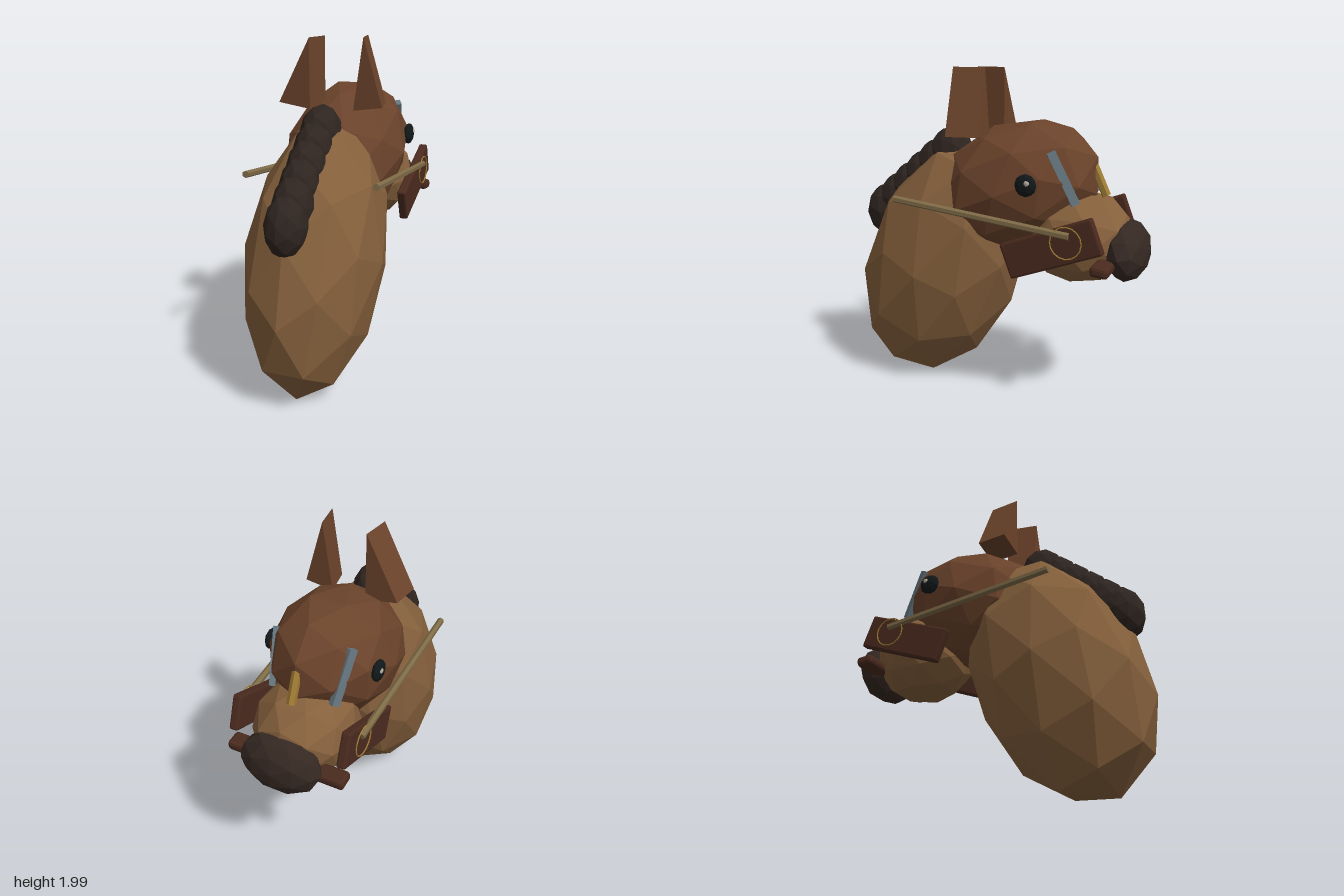
import * as THREE from 'three';
import { RoundedBoxGeometry } from 'three/addons/geometries/RoundedBoxGeometry.js';

const mat = (color) => new THREE.MeshStandardMaterial({ color, flatShading: true });
const TAN = mat(0x85603c), BROWN = mat(0x6b432b), DARK = mat(0x2f2520), NOSE = mat(0x352822),
  LEATHER = mat(0x4a2a1e), ROPE = mat(0x7d6a46), GOLD = mat(0xa07c34), STEEL = mat(0x667780),
  BLACK = mat(0x12181a), GLINT = mat(0xb0a898);

export function createModel() {
  const model = new THREE.Group();

  const add = (name, geometry, material, pos = [0, 0, 0], tilt = 0) => {
    const mesh = new THREE.Mesh(geometry, material);
    mesh.name = name;
    mesh.position.set(...pos);
    mesh.rotation.x = tilt;
    model.add(mesh);
    return mesh;
  };

  // Faceted ellipsoid
  const blob = (name, material, pos, radii, tilt = 0) =>
    add(name, new THREE.IcosahedronGeometry(1, 1).scale(...radii), material, pos, tilt);

  // Straight piece whose geometry runs along y, laid between two points
  const between = (name, from, to, makeGeometry, material) => {
    const a = new THREE.Vector3(...from), b = new THREE.Vector3(...to);
    const dir = b.clone().sub(a);
    const mesh = add(name, makeGeometry(dir.length()), material, a.clone().add(b).multiplyScalar(0.5).toArray());
    mesh.quaternion.setFromUnitVectors(new THREE.Vector3(0, 1, 0), dir.normalize());
  };

  // Neck, skull, muzzle and nose
  blob('neck', TAN, [0, 0.77, 0.385], [0.395, 0.83, 0.515], -0.41);
  blob('head', BROWN, [0, 1.3, -0.12], [0.36, 0.385, 0.54], 0.4);
  blob('muzzle', TAN, [0, 1.04, -0.52], [0.3, 0.28, 0.33]);
  blob('nose', NOSE, [0, 0.985, -0.815], [0.25, 0.178, 0.125], 0.1);

  // Mane: overlapping tufts down the back of the neck
  for (let i = 0; i < 6; i++) {
    const t = i / 5;
    blob('maneTuft', DARK, [0, 1.475 - 0.4 * t, 0.32 + 0.475 * t],
      [0.117, 0.165 + 0.01 * t, 0.14], -0.25);
  }

  // Ears: wedges, each twisted slightly so the back end shifts sideways
  const ear = (name, corners, shift) => {
    const depth = 0.185;
    const shape = new THREE.Shape(corners.map(([x, y]) => new THREE.Vector2(x, y)));
    const geo = new THREE.ExtrudeGeometry(shape, { depth, bevelEnabled: false });
    const p = geo.attributes.position;
    for (let i = 0; i < p.count; i++) p.setX(i, p.getX(i) + shift * (1 - p.getZ(i) / depth));
    geo.computeVertexNormals();
    add(name, geo, BROWN, [0, 0, 0.008]);
  };
  ear('rightEar', [[-0.315, 1.615], [-0.12, 1.585], [-0.122, 1.99]], 0.022);
  ear('leftEar', [[0.145, 1.59], [0.317, 1.615], [0.203, 2.0]], -0.035);

  // Paired parts
  for (const [side, s] of [['left', 1], ['right', -1]]) {
    blob(side + 'Eye', BLACK, [s * 0.335, 1.38, -0.31], [0.03, 0.065, 0.065]);
    blob(side + 'EyeGlint', GLINT, [s * 0.358, 1.395, -0.325], [0.01, 0.017, 0.017]);

    // Cheek pad and bit ring
    add(side + 'CheekPad', new RoundedBoxGeometry(0.055, 0.21, 0.57, 1, 0.012), LEATHER,
      [s * 0.335, 1.037, -0.465], 0.37);
    add(side + 'BitRing', new THREE.TorusGeometry(0.09, 0.004, 5, 16).rotateY(Math.PI / 2), GOLD,
      [s * 0.372, 1.09, -0.56]);

    // Rein
    between(side + 'Rein', [s * 0.39, 1.243, 0.5], [s * 0.365, 1.128, -0.575],
      (h) => new THREE.CylinderGeometry(0.021, 0.021, h, 6), ROPE);

    // Brow strap
    between(side + 'BrowStrap', [s * 0.23, 1.555, -0.415], [s * 0.193, 1.265, -0.555],
      (h) => new THREE.BoxGeometry(0.035, h, 0.05), STEEL);
  }

  // Mouth bar and gold strip on the bridge of the face
  add('mouthBar', new RoundedBoxGeometry(0.73, 0.062, 0.105, 1, 0.02), LEATHER, [0, 0.942, -0.745], -0.1);
  between('noseStrip', [0, 1.46, -0.595], [0, 1.29, -0.675],
    (h) => new THREE.CylinderGeometry(0.027, 0.027, h, 6), GOLD);

  return model;
}
